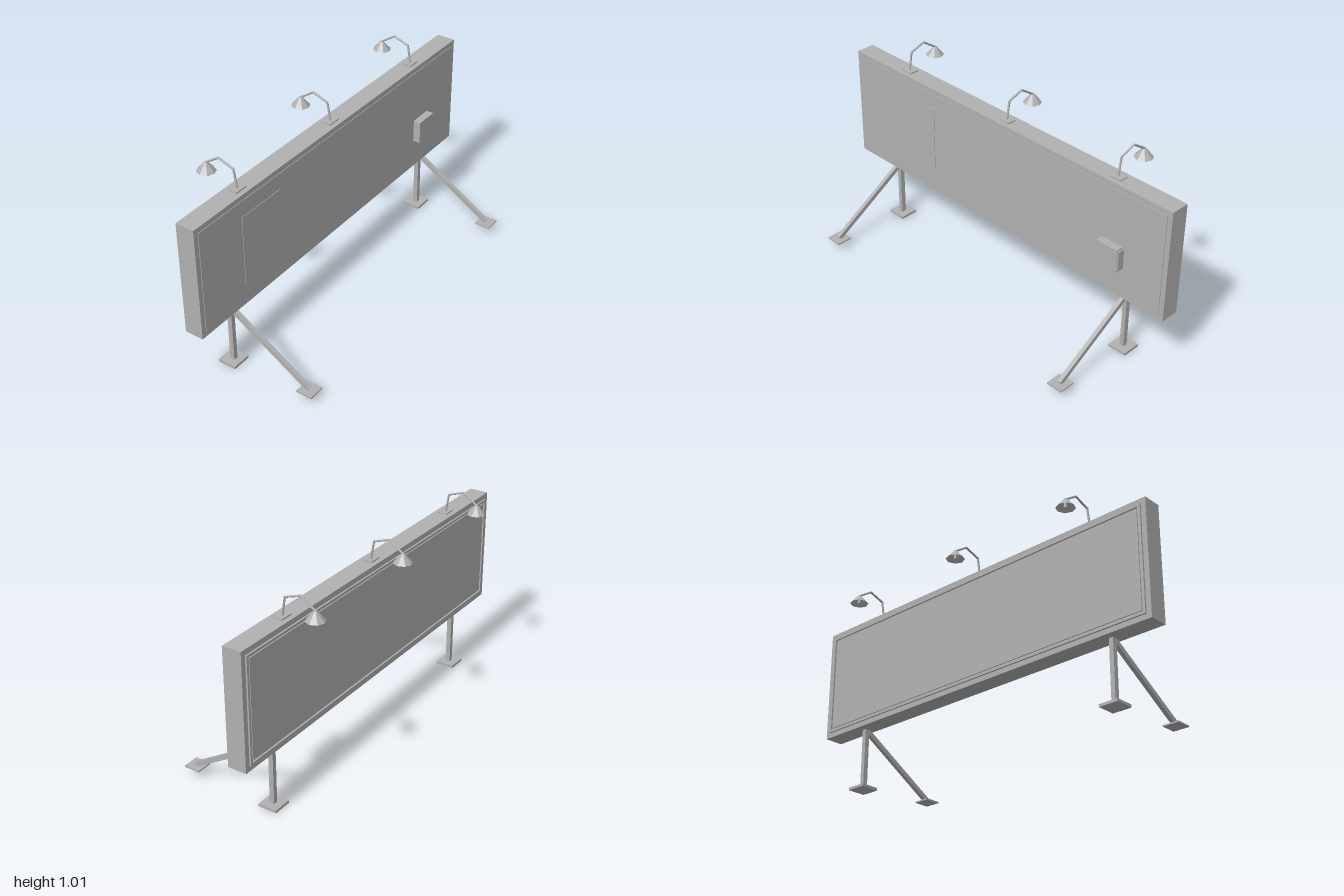
import * as THREE from 'three';

export function createModel() {
  const model = new THREE.Group();
  const grey = new THREE.MeshStandardMaterial({ color: 0xb0b0b0 });
  grey.name = 'plain grey';
  const greyOpen = grey; // one colour throughout
  greyOpen.side = THREE.DoubleSide;
  greyOpen.flatShading = true;

  const add = (name, geometry, parent = model) => {
    const mesh = new THREE.Mesh(geometry, grey);
    mesh.name = name;
    parent.add(mesh);
    return mesh;
  };
  // Box given by its limits on each axis
  const box = (name, x0, x1, y0, y1, z0, z1, parent) =>
    add(name, new THREE.BoxGeometry(x1 - x0, y1 - y0, z1 - z0), parent)
      .position.set((x0 + x1) / 2, (y0 + y1) / 2, (z0 + z1) / 2);
  // Straight bar between two points
  const bar = (name, a, b, geometryFor, parent) => {
    const dir = b.clone().sub(a);
    const mesh = add(name, geometryFor(dir.length()), parent);
    mesh.position.copy(a).add(b).multiplyScalar(0.5);
    mesh.quaternion.setFromUnitVectors(new THREE.Vector3(0, 1, 0), dir.normalize());
    return mesh;
  };
  // Rectangular rim with an open middle
  const rim = (name, w, h, t, depth, y, z) => {
    const shape = new THREE.Shape([
      new THREE.Vector2(-w, -h), new THREE.Vector2(w, -h),
      new THREE.Vector2(w, h), new THREE.Vector2(-w, h)]);
    const [a, b] = [w - t, h - t];
    shape.holes.push(new THREE.Path([
      new THREE.Vector2(-a, -b), new THREE.Vector2(-a, b),
      new THREE.Vector2(a, b), new THREE.Vector2(a, -b)]));
    add(name, new THREE.ExtrudeGeometry(shape, { depth, bevelEnabled: false })).position.set(0, y, z);
  };

  // Sign body with its two faces
  box('signBody', -1, 1, 0.312, 0.883, -0.175, -0.081);
  box('frontPanel', -0.975, 0.975, 0.337, 0.857, -0.081, -0.078);
  rim('backRim', 0.975, 0.26, 0.013, 0.008, 0.597, -0.183);
  box('backPanel', -0.955, 0.955, 0.357, 0.837, -0.18, -0.175);

  // Service hatch and control box
  box('serviceHatch', -0.705, -0.44, 0.415, 0.778, -0.078, -0.0755);
  box('controlBox', 0.637, 0.757, 0.468, 0.585, -0.081, -0.04);
  box('controlBoxHinge', 0.757, 0.765, 0.475, 0.578, -0.081, -0.043);

  // Legs: upright post, slanted brace and their foot plates
  for (const side of [-1, 1]) {
    const leg = new THREE.Group();
    leg.name = side < 0 ? 'rightLeg' : 'leftLeg';
    leg.position.x = side * 0.762;
    model.add(leg);
    box('post', -0.011, 0.011, 0.012, 0.315, -0.138, -0.114, leg);
    box('postPlate', -0.048, 0.048, 0, 0.013, -0.175, -0.081, leg);
    bar('brace', new THREE.Vector3(0, 0.05, 0.303), new THREE.Vector3(0, 0.309, -0.122),
      (len) => new THREE.BoxGeometry(0.02, len, 0.023), leg);
    box('bracePlate', -0.041, 0.041, 0.042, 0.049, 0.26, 0.341, leg);
  }

  // Lamps: bracket, bent arm, conical shade and bulb
  const elbows = [[0.887, -0.128], [0.976, -0.143], [1.003, -0.222], [0.953, -0.296]]
    .map(([y, z]) => new THREE.Vector3(0, y, z));
  for (const x of [-0.665, 0, 0.665]) {
    const lamp = new THREE.Group();
    lamp.name = 'lamp';
    lamp.position.x = x;
    model.add(lamp);
    box('lampBracket', -0.033, 0.033, 0.883, 0.889, -0.151, -0.105, lamp);
    for (let i = 0; i < 3; i++) {
      bar('lampArm', elbows[i], elbows[i + 1],
        (len) => new THREE.CylinderGeometry(0.005, 0.005, len + 0.003, 8), lamp);
    }
    add('lampShade', new THREE.CylinderGeometry(0.007, 0.045, 0.044, 8, 1, true), lamp)
      .position.set(0, 0.933, -0.295);
    add('lampCap', new THREE.CylinderGeometry(0.007, 0.007, 0.006, 8), lamp)
      .position.set(0, 0.953, -0.295);
    add('bulb', new THREE.SphereGeometry(0.009, 8, 6), lamp)
      .position.set(0, 0.914, -0.295);
    add('bulbSocket', new THREE.CylinderGeometry(0.006, 0.006, 0.035, 8), lamp)
      .position.set(0, 0.936, -0.295);
  }
  return model;
}
